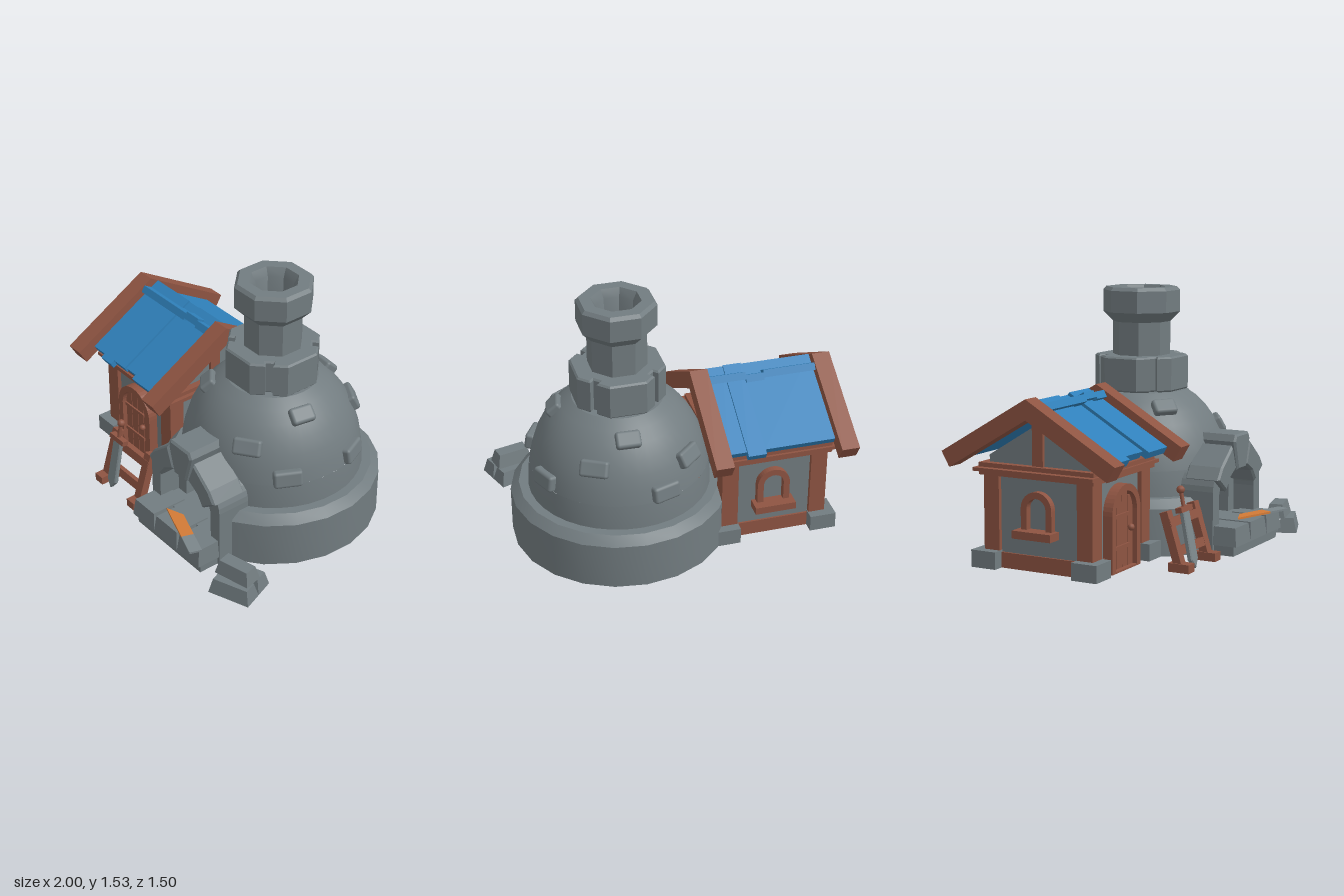
import * as THREE from 'three';
import { toCreasedNormals } from 'three/addons/utils/BufferGeometryUtils.js';
import { RoundedBoxGeometry } from 'three/addons/geometries/RoundedBoxGeometry.js';

const material = (name, color) => {
  const m = new THREE.MeshStandardMaterial({ color });
  m.name = name;
  return m;
};
const stone = material('stone', 0x727c80);
const wood = material('wood', 0x8e5442);
const tile = material('blueRoof', 0x2f80ba);
const glow = material('hotOrange', 0xd27a36);
const steel = material('steel', 0x7b868a);

function add(parent, name, geo, mat, x = 0, y = 0, z = 0) {
  const m = new THREE.Mesh(geo, mat);
  m.name = name;
  m.position.set(x, y, z);
  parent.add(m);
  return m;
}
function group(parent, name, x = 0, y = 0, z = 0) {
  const g = new THREE.Group();
  g.name = name;
  g.position.set(x, y, z);
  parent.add(g);
  return g;
}
const box = (parent, name, mat, w, h, d, x, y, z) =>
  add(parent, name, new THREE.BoxGeometry(w, h, d), mat, x, y, z);

// Box given by its min and max corners
const span = (parent, name, mat, x0, x1, y0, y1, z0, z1) =>
  box(parent, name, mat, x1 - x0, y1 - y0, z1 - z0, (x0 + x1) / 2, (y0 + y1) / 2, (z0 + z1) / 2);

const poly = (pts) => new THREE.Shape(pts.map(([x, y]) => new THREE.Vector2(x, y)));

// Outline with straight sides and an elliptical head
function archShape(hw, bottom, spring, rise, hole) {
  const s = new THREE.Shape();
  s.moveTo(-hw, bottom).lineTo(hw, bottom).lineTo(hw, spring);
  s.absellipse(0, spring, hw, rise, 0, Math.PI, false);
  s.closePath();
  if (hole) s.holes.push(hole);
  return s;
}
const extrude = (shape, depth, bevel = 0) => new THREE.ExtrudeGeometry(shape, {
  depth, curveSegments: 10, bevelEnabled: bevel > 0, bevelSize: bevel,
  bevelThickness: bevel, bevelOffset: -bevel, bevelSegments: 1 });

function lathe(pts, seg, start = 0, length = Math.PI * 2) {
  const g = new THREE.LatheGeometry(pts.map(([r, y]) => new THREE.Vector2(r, y)), seg, start, length);
  return toCreasedNormals(g, 0.5);
}

// Block whose top is smaller than its bottom
function taperedBlock(w, h, d, inset) {
  const g = new THREE.BoxGeometry(w, h, d).toNonIndexed();
  const p = g.attributes.position;
  for (let i = 0; i < p.count; i++) {
    if (p.getY(i) < 0) continue;
    p.setX(i, p.getX(i) - Math.sign(p.getX(i)) * inset);
    p.setZ(i, p.getZ(i) - Math.sign(p.getZ(i)) * inset);
  }
  g.computeVertexNormals();
  return g;
}

function buildFurnace(root) {
  const f = group(root, 'furnace', 0.3, 0, -0.095);
  const gap = Math.PI / 6, gap2 = 0.45, full = Math.PI * 2;
  add(f, 'baseRing', lathe([[0, 0], [0.65, 0], [0.65, 0.28], [0.6, 0.33], [0.5, 0.33]], 18, gap, full - 2 * gap), stone);
  add(f, 'domeWall', lathe([[0.545, 0.3], [0.54, 0.4], [0.53, 0.48]], 32, gap2, full - 2 * gap2), stone);
  add(f, 'dome', lathe([[0.53, 0.48], [0.515, 0.56], [0.487, 0.65], [0.445, 0.735],
    [0.395, 0.805], [0.335, 0.865], [0.27, 0.908], [0, 0.915]], 40), stone);

  // Octagonal collar with a notch on each diagonal side
  const ring = [];
  for (let i = 0; i < 4; i++) {
    const a = i * Math.PI / 2, c = Math.cos(a), s = Math.sin(a);
    for (const [x, y] of [[0.262, -0.108], [0.262, 0.108], [0.2, 0.17], [0.175, 0.145],
      [0.145, 0.175], [0.17, 0.2]]) ring.push([x * c - y * s, x * s + y * c]);
  }
  const collar = extrude(poly(ring), 0.19, 0.01);
  collar.rotateX(-Math.PI / 2);
  add(f, 'collar', collar, stone, 0, 0.92, 0);

  // Octagonal chimney, hollow at the top
  const k = 1 / Math.cos(Math.PI / 8);
  const profile = [[0.162, 1.1], [0.162, 1.32], [0.217, 1.38], [0.217, 1.51], [0.2, 1.53],
    [0.135, 1.53], [0.11, 1.48], [0.1, 1.2]].map(([r, y]) => [r * k, y]);
  add(f, 'chimney', lathe(profile, 8, Math.PI / 8), stone);
  add(f, 'chimneyGlow', new THREE.CylinderGeometry(0.11, 0.11, 0.008, 8, 1, false, Math.PI / 8), glow, 0, 1.22, 0);

  // Raised stones scattered on the dome: dx, y, dz, tilt
  for (const [x, y, z, t] of [[-0.32, 0.66, -0.37, 0.5], [-0.15, 0.53, -0.505, 0.15], [0.035, 0.83, -0.375, 0.85],
    [0.24, 0.69, -0.405, 0.5], [0.485, 0.53, -0.2, 0.15], [0.36, 0.835, 0.085, 0.85],
    [0.255, 0.69, 0.395, 0.5], [0.46, 0.53, 0.265, 0.15], [-0.24, 0.835, 0.285, 0.85]]) {
    const m = add(f, 'domeStone', new RoundedBoxGeometry(t > 0.8 ? 0.145 : 0.17, 0.1, 0.06, 2, 0.018), stone, x, y, z);
    m.rotation.set(-t, Math.atan2(x, z), 0.03, 'YXZ');
  }
}

function buildMouth(root) {
  const g = group(root, 'furnaceMouth', 0.3, 0, 0);
  add(g, 'archWall', extrude(archShape(0.32, 0, 0.37, 0.21, archShape(0.24, 0.1, 0.32, 0.16)), 0.21), stone, 0, 0, 0.345);
  add(g, 'throat', extrude(archShape(0.3, 0, 0.36, 0.17, archShape(0.165, 0.15, 0.4, 0.08)), 0.24), stone, 0, 0, 0.18);
  box(g, 'throatFloor', stone, 0.6, 0.16, 0.62, 0, 0.081, 0.24);
  box(g, 'fireGlow', glow, 0.36, 0.36, 0.008, 0, 0.32, 0.2);
  // Arch stones and keystone
  const side = [[-0.12, 0.62], [-0.26, 0.51], [-0.31, 0.44], [-0.2, 0.36], [-0.15, 0.43], [-0.065, 0.48]];
  add(g, 'archStone', extrude(poly(side), 0.2, 0.012), stone, 0, 0, 0.375);
  add(g, 'archStone', extrude(poly(side.map(([x, y]) => [-x, y]).reverse()), 0.2, 0.012), stone, 0, 0, 0.375);
  add(g, 'keystone', extrude(poly([[-0.055, 0.465], [0.055, 0.465], [0.105, 0.64], [0.085, 0.68],
    [-0.085, 0.68], [-0.105, 0.64]]), 0.23, 0.012), stone, 0, 0, 0.35);
  // Sill of three stones on a plinth
  box(g, 'sillPlinth', stone, 0.6, 0.07, 0.22, 0, 0.035, 0.57);
  for (const [x, w] of [[-0.215, 0.205], [0, 0.22], [0.215, 0.205]])
    add(g, 'sillStone', taperedBlock(w, 0.11, 0.25, 0.012), stone, x, 0.115, 0.58);
  // Half heated blade on the sill
  const b = group(g, 'hotBlade', 0.14, 0.182, 0.66);
  b.rotation.y = -0.34;
  box(b, 'hotEnd', glow, 0.19, 0.012, 0.075, -0.06, 0, 0);
  const tip = extrude(poly([[-0.04, -0.0375], [-0.04, 0.0375], [-0.13, -0.0375]]), 0.012);
  tip.rotateX(-Math.PI / 2);
  add(b, 'hotTip', tip, glow, -0.115, -0.006, 0);
  box(b, 'coldEnd', steel, 0.15, 0.012, 0.075, 0.11, 0, 0);
}

function buildIngots(root) {
  const g = group(root, 'ingotPile', 0.84, 0, 0.59);
  g.rotation.y = 0.36;
  for (const z of [-0.06, 0.06]) add(g, 'ingot', taperedBlock(0.26, 0.09, 0.12, 0.02), stone, 0, 0.045, z);
  add(g, 'ingot', taperedBlock(0.23, 0.085, 0.12, 0.02), stone, -0.01, 0.132, 0).rotation.y = -0.12;
}

function buildWindow(parent, x, y, z, turn) {
  const w = group(parent, 'window', x, y, z);
  w.rotation.y = turn;
  add(w, 'windowFrame', extrude(archShape(0.1, 0, 0.14, 0.1, archShape(0.062, 0.02, 0.14, 0.062)), 0.04), wood);
  box(w, 'windowSill', wood, 0.25, 0.045, 0.1, 0, 0, 0.045);
}

function buildHouse(root) {
  const h = group(root, 'house');
  const zc = -0.1, x0 = -0.86, x1 = -0.26, z0 = -0.43, z1 = 0.23;
  const body = extrude(poly([[-0.33, 0.05], [0.33, 0.05], [0.33, 0.64], [0, 0.84], [-0.33, 0.64]]), x1 - x0);
  body.rotateY(Math.PI / 2);
  add(h, 'walls', body, stone, x0, 0, zc);
  span(h, 'floorBoards', wood, x0 - 0.012, x1 + 0.012, 0, 0.09, z0 - 0.012, z1 + 0.012);
  for (const x of [x0, x1]) for (const z of [z0, z1]) {
    box(h, 'cornerPost', wood, 0.1, 0.55, 0.1, x + (x < -0.5 ? 0.025 : -0.025), 0.3, z + (z < 0 ? 0.025 : -0.025));
    box(h, 'cornerStone', stone, 0.16, 0.1, 0.16, x, 0.05, z);
  }
  span(h, 'wallBeam', wood, x0 - 0.045, x1 + 0.045, 0.53, 0.6, z0 - 0.045, z1 + 0.045);
  span(h, 'wallBeamCap', wood, x0 - 0.085, x1 + 0.07, 0.555, 0.575, z0 - 0.06, z1 + 0.06);
  for (const x of [x0, x1]) box(h, 'gablePost', wood, 0.04, 0.26, 0.07, x, 0.7, zc);
  buildWindow(h, x0, 0.22, zc, -Math.PI / 2);
  buildWindow(h, -0.55, 0.22, z0, Math.PI);

  // Arched plank door
  const d = group(h, 'door', -0.57, 0, z1);
  add(d, 'doorFrame', extrude(archShape(0.16, 0, 0.33, 0.16, archShape(0.12, 0.01, 0.33, 0.12)), 0.06), wood);
  for (let i = 0; i < 4; i++) {
    const x = -0.0915 + i * 0.061, top = 0.33 + Math.sqrt(0.0155 - x * x);
    span(d, 'doorPlank', wood, x - 0.028, x + 0.028, 0.01, top, 0, 0.03);
  }
  for (const y of [0.13, 0.31]) box(d, 'doorStrap', wood, 0.19, 0.022, 0.012, -0.025, y, 0.034);
  add(d, 'doorKnob', new THREE.SphereGeometry(0.02, 10, 8), wood, 0.07, 0.23, 0.05);

  // Two roof slopes: gable beams and blue panels [x0, x1, length, lift]
  const slopes = {
    front: [[-0.89, -0.78, 0.55, 0], [-0.78, -0.68, 0.58, 0], [-0.68, -0.57, 0.55, 0],
      [-0.57, -0.46, 0.54, -0.014], [-0.46, -0.24, 0.575, 0.004]],
    back: [[-0.89, -0.46, 0.545, 0], [-0.46, -0.35, 0.58, 0.012], [-0.35, -0.24, 0.545, 0]],
  };
  for (const key of ['front', 'back']) {
    const s = key === 'front' ? 1 : -1;
    const r = group(h, key + 'Roof', 0, 0.99, zc);
    r.rotation.x = s * 0.53;
    for (const x of [-0.945, -0.187]) box(r, 'gableBeam', wood, 0.108, 0.1, 0.65, x, -0.05, s * 0.325);
    for (const [a, b, len, lift] of slopes[key])
      box(r, 'roofPanel', tile, b - a, 0.045, len + 0.03, (a + b) / 2, -0.075 + lift, s * (len / 2 - 0.015));
  }
}

function buildRack(root) {
  const r = group(root, 'weaponRack', -0.3, 0, 0.6);
  for (const x of [-0.165, 0.165]) {
    box(r, 'rackFoot', wood, 0.07, 0.05, 0.13, x, 0.025, -0.02);
    box(r, 'rackPost', wood, 0.055, 0.34, 0.05, x, 0.17, -0.07).rotation.x = -0.3;
  }
  for (const [y, z] of [[0.27, -0.09], [0.11, -0.045]])
    box(r, 'rackRail', wood, 0.38, 0.05, 0.035, 0, y, z).rotation.x = -0.3;

  // Sword leaning point down on the rack
  const s = group(root, 'sword', -0.37, 0.005, 0.615);
  s.rotation.x = -0.2;
  add(s, 'swordBlade', extrude(poly([[0, 0], [0.04, 0.05], [0.036, 0.33], [-0.036, 0.33], [-0.04, 0.05]]), 0.018, 0.006), steel, 0, 0, -0.009);
  box(s, 'swordGuard', wood, 0.135, 0.03, 0.04, 0, 0.34, 0);
  add(s, 'swordGrip', new THREE.CylinderGeometry(0.012, 0.012, 0.1, 8), wood, 0, 0.395, 0);
  add(s, 'swordPommel', new THREE.SphereGeometry(0.024, 10, 8), wood, 0, 0.45, 0);
}

export function createModel() {
  const root = new THREE.Group();
  root.name = 'smithy';
  buildFurnace(root);
  buildMouth(root);
  buildIngots(root);
  buildHouse(root);
  buildRack(root);
  return root;
}
